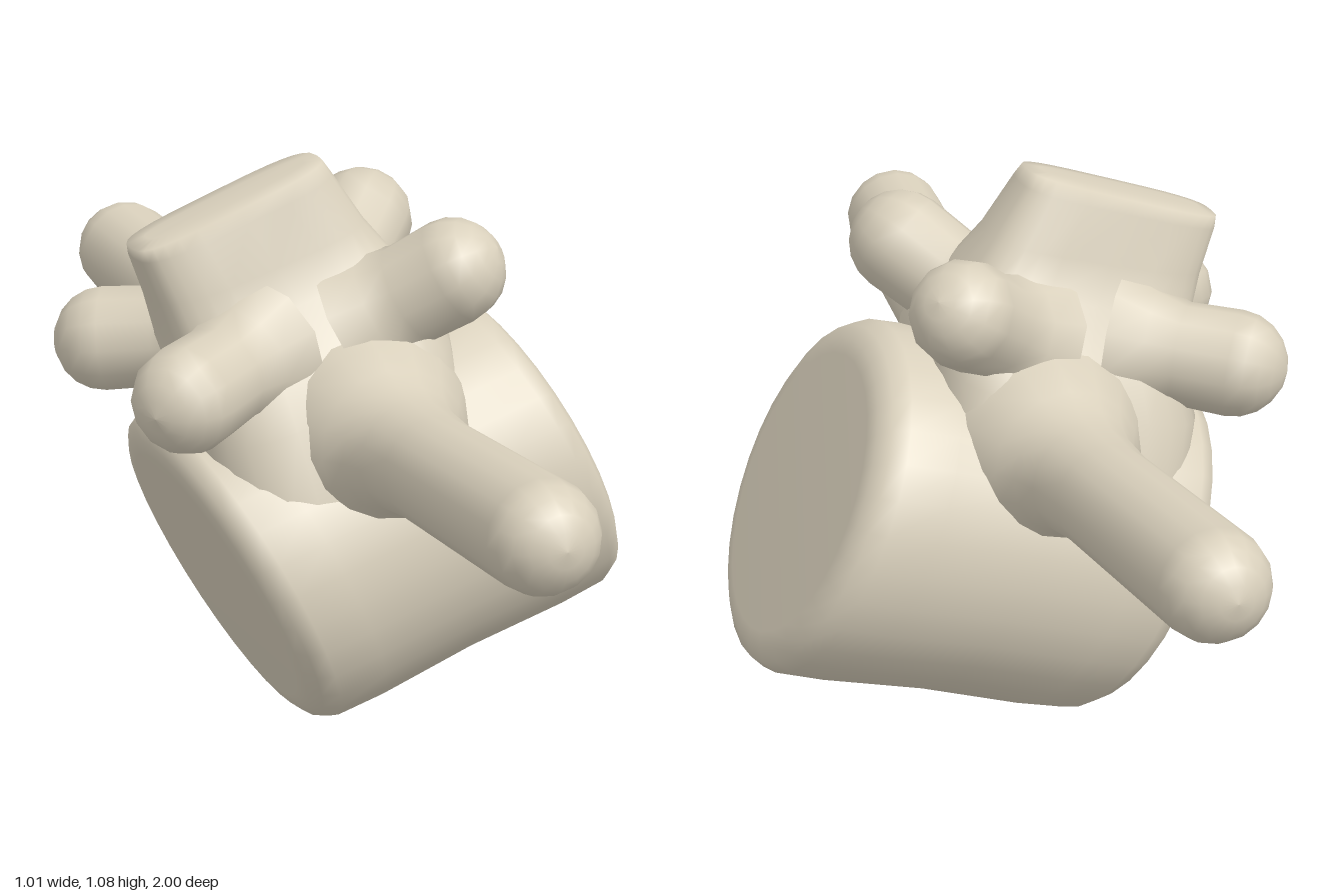
import * as THREE from 'three';

const bone = new THREE.MeshStandardMaterial({ color: 0xd9d0bc });
bone.name = 'bone';

const V = (x, y, z) => new THREE.Vector3(x, y, z);

function part(name, geometry) {
  const mesh = new THREE.Mesh(geometry, bone);
  mesh.name = name;
  return mesh;
}

// Lathe whose profile [distance along, radius] runs from point a toward point b
function rod(name, a, b, profile, sides) {
  const g = new THREE.LatheGeometry(profile.map(([d, r]) => new THREE.Vector2(r, d)), sides);
  const mesh = part(name, g);
  mesh.position.copy(a);
  mesh.quaternion.setFromUnitVectors(V(0, 1, 0), b.clone().sub(a).normalize());
  return mesh;
}

// Profile points of a round tip of radius r ending at distance end
function roundTip(end, r) {
  const steps = 5;
  return Array.from({ length: steps + 1 }, (_, i) => {
    const t = (i / steps) * Math.PI / 2;
    return [end - r + r * Math.sin(t), Math.max(0, r * Math.cos(t))];
  });
}

// Drum-shaped body with rounded rims, its end faces slightly slanted
function vertebralBody() {
  const half = [[0.345, 0], [0.345, 0.27], [0.34, 0.30], [0.325, 0.327], [0.295, 0.343], [0.2, 0.346]];
  const profile = [
    ...half.map(([d, r]) => [-d, r]),
    [0, 0.34],
    ...half.slice().reverse(),
  ];
  const g = new THREE.LatheGeometry(profile.map(([d, r]) => new THREE.Vector2(r, d)), 32);
  const m = new THREE.Matrix4().makeBasis(V(0.42, -0.907, 0), V(0.957, 0.29, 0), V(0, 0, 0.985));
  m.setPosition(0.055, 0.41, 0);
  g.applyMatrix4(m);
  return part('vertebralBody', g);
}

// Arch and blade-like spine, lofted through rounded sections
function archAndSpine() {
  // left x, left y, right x, right y, half depth
  const sections = [
    [-0.33, 0.48, 0.17, 0.63, 0.29],
    [-0.36, 0.62, 0.15, 0.78, 0.25],
    [-0.35, 0.70, 0.11, 0.86, 0.19],
    [-0.37, 0.79, 0.06, 0.93, 0.13],
    [-0.395, 0.87, 0.015, 0.985, 0.10],
    [-0.425, 0.95, -0.045, 1.075, 0.082],
    [-0.43, 0.97, -0.06, 1.098, 0.065],
    [-0.40, 0.985, -0.09, 1.092, 0.03],
  ];
  const n = 28;
  const positions = [];
  const index = [];
  const rounded = (c, p) => Math.sign(c) * Math.pow(Math.abs(c), p);
  for (const [lx, ly, rx, ry, hz] of sections) {
    for (let i = 0; i < n; i++) {
      const t = (i / n) * Math.PI * 2;
      const k = 0.5 + 0.5 * rounded(Math.cos(t), 0.55);
      positions.push(lx + (rx - lx) * k, ly + (ry - ly) * k, -hz * rounded(Math.sin(t), 0.6));
    }
  }
  for (let s = 0; s < sections.length - 1; s++) {
    for (let i = 0; i < n; i++) {
      const a = s * n + i;
      const b = s * n + (i + 1) % n;
      index.push(a, b, b + n, a, b + n, a + n);
    }
  }
  // Closed tip
  const [lx, ly, rx, ry] = sections[sections.length - 1];
  positions.push((lx + rx) / 2, (ly + ry) / 2, 0);
  const top = (sections.length - 1) * n;
  for (let i = 0; i < n; i++) index.push(top + i, top + (i + 1) % n, sections.length * n);
  const g = new THREE.BufferGeometry();
  g.setAttribute('position', new THREE.Float32BufferAttribute(positions, 3));
  g.setIndex(index);
  g.computeVertexNormals();
  return part('archAndSpine', g);
}

// Short knob with a flared neck
function knob(name, a, b) {
  const len = a.distanceTo(b);
  return rod(name, a, b, [
    [0, 0.15], [len * 0.3, 0.115], [len * 0.55, 0.097],
    ...roundTip(len + 0.1, 0.1),
  ], 12);
}

export function createModel() {
  const group = new THREE.Group();
  group.name = 'vertebra';
  group.add(vertebralBody(), archAndSpine());

  for (const side of [1, -1]) {
    const label = side > 0 ? 'front' : 'back';
    // Long side arm, flared where it leaves the body
    const root = V(-0.035, 0.615, 0.15 * side);
    const tip = V(-0.085, 0.685, 1.0 * side);
    const len = root.distanceTo(tip);
    group.add(rod(label + 'SideArm', root, tip, [
      [0, 0.21], [0.09, 0.175], [0.14, 0.142], [0.18, 0.12], [0.23, 0.106], [0.32, 0.098],
      ...roundTip(len, 0.1),
    ], 16));
    // Joint knobs at both ends of the arch
    group.add(knob(label + 'LowerJointKnob', V(-0.22, 0.76, 0.07 * side), V(-0.405, 0.74, 0.19 * side)));
    group.add(knob(label + 'UpperJointKnob', V(-0.01, 0.80, 0.08 * side), V(0.12, 0.905, 0.19 * side)));
  }
  return group;
}
